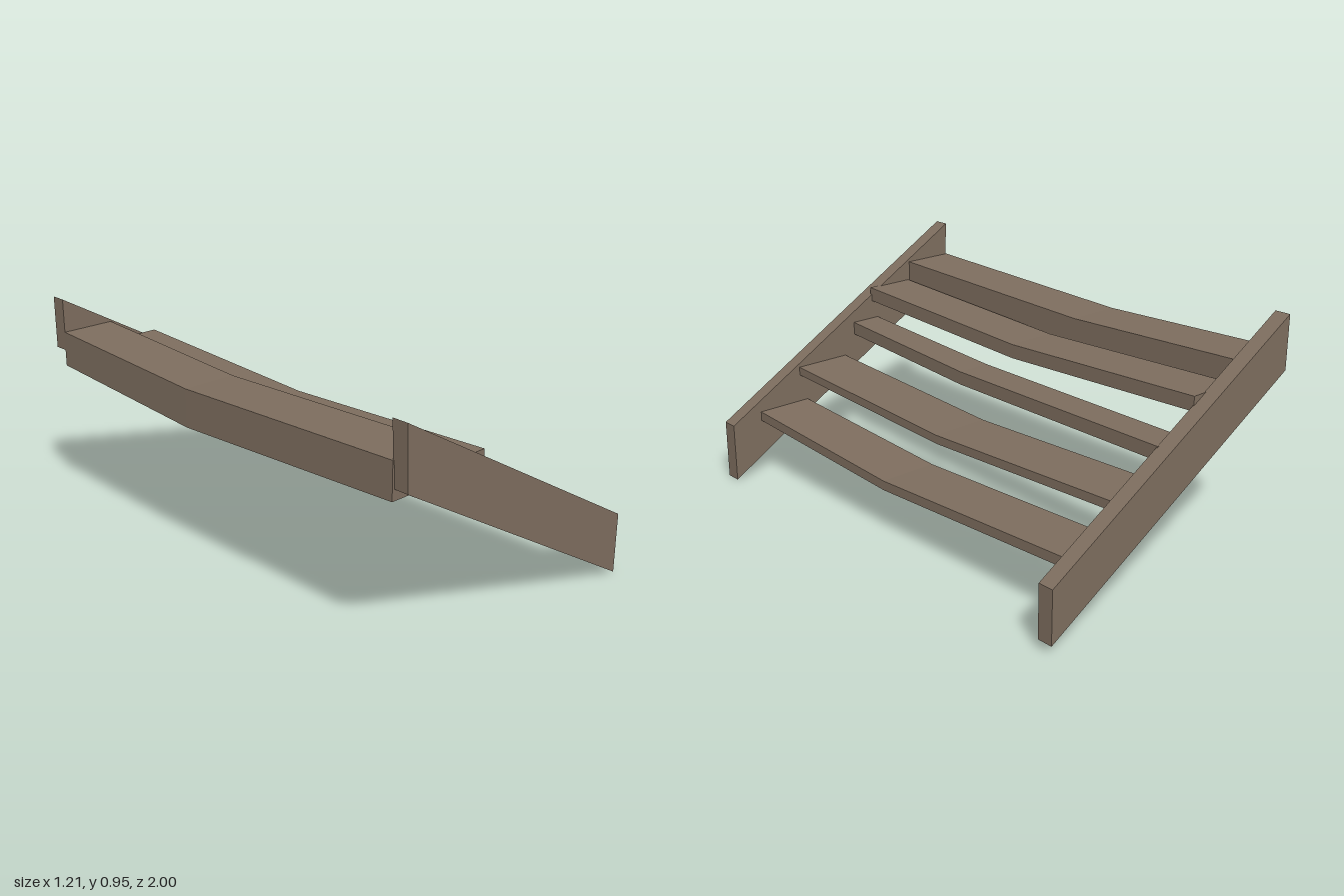
import * as THREE from 'three';

const wood = new THREE.MeshStandardMaterial({ color: 0x7d6d5e, flatShading: true });
wood.name = 'weatheredWood';

// Slanted side board: outline in x/y, extruded along z
function stringer(name, points, z, depth) {
  const shape = new THREE.Shape(points.map(([x, y]) => new THREE.Vector2(x, y)));
  const geometry = new THREE.ExtrudeGeometry(shape, { depth, bevelEnabled: false });
  geometry.translate(0, 0, z);
  const mesh = new THREE.Mesh(geometry, wood);
  mesh.name = name;
  return mesh;
}

// Sagging plank: three sections [z, left x, right x, bottom y, top y] from back to front
function tread(name, sections) {
  const geometry = new THREE.BoxGeometry(2, 2, 2, 1, 1, 2);
  const p = geometry.attributes.position;
  for (let i = 0; i < p.count; i++) {
    const [z, left, right, bottom, top] = sections[Math.round(p.getZ(i)) + 1];
    p.setXYZ(i, p.getX(i) < 0 ? left : right, p.getY(i) < 0 ? bottom : top, z);
  }
  const flat = geometry.toNonIndexed();
  flat.computeVertexNormals();
  const mesh = new THREE.Mesh(flat, wood);
  mesh.name = name;
  return mesh;
}

export function createModel() {
  const stairs = new THREE.Group();
  stairs.name = 'oldStairs';

  // Side boards
  stairs.add(
    stringer('frontStringer', [[-0.59, 0.7], [0.605, 0], [0.605, 0.25], [-0.6, 0.947]], 0.935, 0.065),
    stringer('backStringer', [[-0.6, 0.725], [0.605, 0.035], [0.605, 0.248], [-0.6, 0.942]], -1, 0.065),
  );

  // Treads, lowest first
  const treads = [
    [[-0.94, 0.22, 0.457, 0.24, 0.28], [0.08, 0.215, 0.462, 0.196, 0.235], [0.94, 0.22, 0.465, 0.24, 0.28]],
    [[-0.94, 0.02, 0.26, 0.4, 0.436], [0, 0.01, 0.257, 0.36, 0.396], [0.94, 0.005, 0.255, 0.4, 0.436]],
    [[-0.94, -0.095, 0.04, 0.524, 0.579], [0.15, -0.143, 0.0, 0.505, 0.56], [0.94, -0.185, -0.05, 0.524, 0.579]],
    [[-0.94, -0.358, -0.148, 0.66, 0.718], [0, -0.362, -0.15, 0.622, 0.68], [0.945, -0.367, -0.155, 0.66, 0.72]],
    [[-0.94, -0.6, -0.373, 0.658, 0.803], [-0.12, -0.607, -0.382, 0.615, 0.769], [0.94, -0.6, -0.375, 0.658, 0.803]],
  ];
  treads.forEach((sections, i) => stairs.add(tread(`tread${i + 1}`, sections)));

  return stairs;
}
